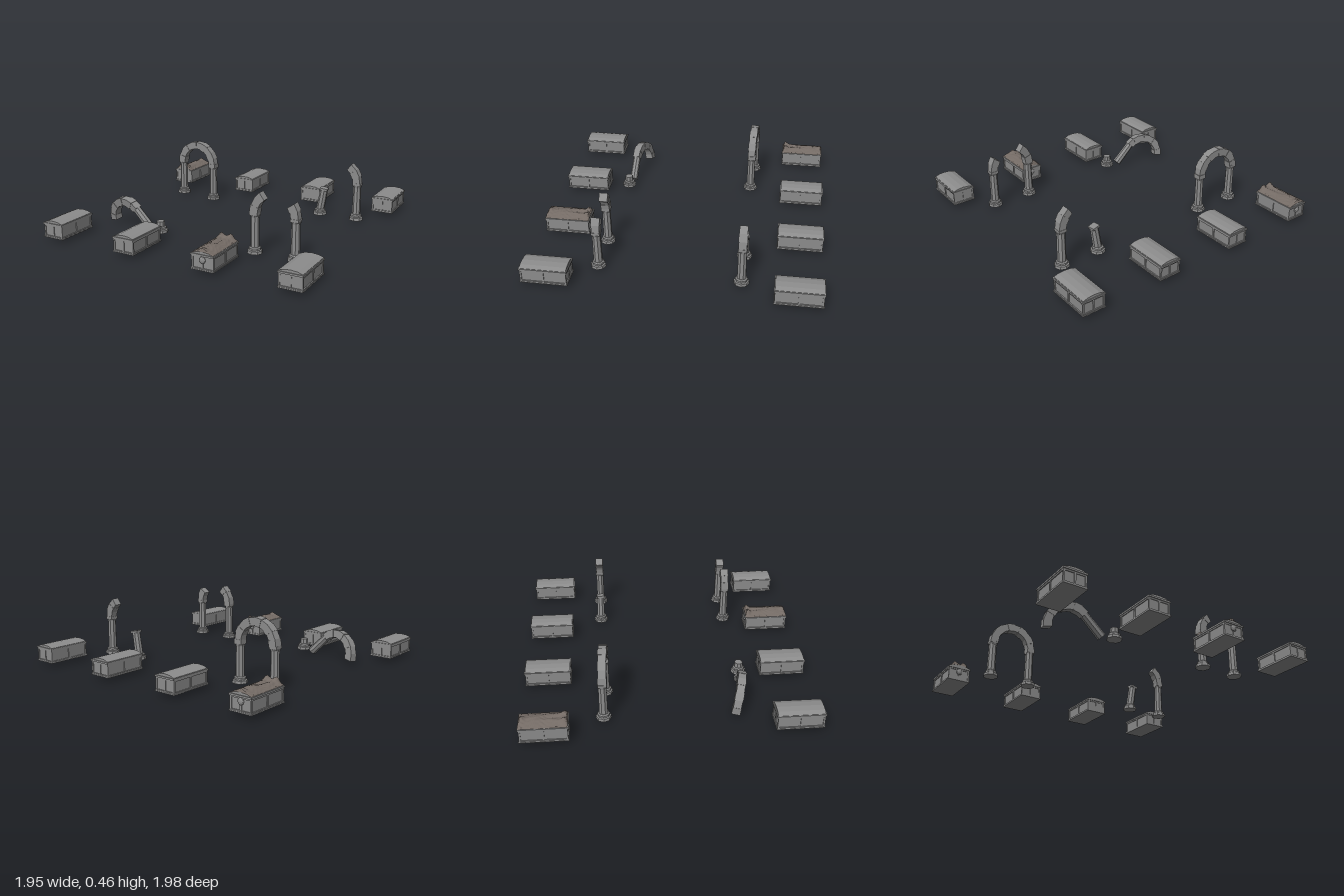
import * as THREE from 'three';

const stone = new THREE.MeshStandardMaterial({ color: 0x8c8c8c, flatShading: true });
const brown = new THREE.MeshStandardMaterial({ color: 0x746b65, flatShading: true, side: THREE.DoubleSide });
const SPAN = 0.145;   // arch centreline radius
const SPRING = 0.295; // height where the arch starts
const STEP = Math.PI / 10;

function add(parent, name, geometry, x = 0, y = 0, z = 0, material = stone) {
  const mesh = new THREE.Mesh(geometry, material);
  mesh.name = name;
  mesh.position.set(x, y, z);
  parent.add(mesh);
  return mesh;
}

function group(parent, name, x, y, z) {
  const g = new THREE.Group();
  g.name = name;
  g.position.set(x, y, z);
  parent.add(g);
  return g;
}

// Octagonal shaft standing on its local origin
function shaftGeometry(height) {
  return new THREE.CylinderGeometry(0.029, 0.031, height, 8).rotateY(Math.PI / 8).translate(0, height / 2, 0);
}

// Moulded octagonal foot of a column
function addBase(parent) {
  const profile = [[0, 0], [0.053, 0], [0.051, 0.02], [0.042, 0.025], [0.042, 0.038], [0.033, 0.045], [0, 0.045]];
  add(parent, 'columnBase', new THREE.LatheGeometry(profile.map(p => new THREE.Vector2(...p)), 8));
}

// Wedge stones of an arch, centred on the local origin, counted from the +x side
function addArchStones(parent, first, count) {
  for (let i = first; i < first + count; i++) {
    const grow = i % 2 ? 0.0025 : 0;
    const a = i * STEP, b = a + STEP;
    const outer = SPAN + 0.027 + grow, inner = SPAN - 0.027 - grow;
    const shape = new THREE.Shape([[inner, a], [outer, a], [outer, b], [inner, b]]
      .map(([r, t]) => new THREE.Vector2(r * Math.cos(t), r * Math.sin(t))));
    const depth = 0.054 + 2 * grow;
    const geometry = new THREE.ExtrudeGeometry(shape, { depth, bevelEnabled: false }).translate(0, 0, -depth / 2);
    add(parent, 'archStone', geometry);
  }
}

// Complete column up to the arch springing
function addColumn(parent, x, z, y = 0.013) {
  const column = group(parent, 'column', x, y, z);
  addBase(column);
  add(column, 'columnShaft', shaftGeometry(0.22), 0, 0.04, 0);
  add(column, 'columnCapital', new THREE.CylinderGeometry(0.034, 0.031, 0.014, 8).rotateY(Math.PI / 8), 0, 0.255, 0);
  add(column, 'springingBlock', new THREE.BoxGeometry(0.058, SPRING - y - 0.262, 0.058), 0, (SPRING - y + 0.262) / 2, 0);
}

// Height of the vaulted lid across the tomb
function lidHeight(x) {
  const a = Math.abs(x);
  return a < 0.045 ? 0.15 - a * 0.09 : 0.146 - (a - 0.045) * 0.36;
}

function addTomb(parent, x, z) {
  const tomb = group(parent, 'tomb', x, 0, z);
  add(tomb, 'tombPlinth', new THREE.BoxGeometry(0.166, 0.008, 0.32), 0, 0.03, 0);
  add(tomb, 'plinthStep', new THREE.BoxGeometry(0.161, 0.008, 0.314), 0, 0.037, 0);
  add(tomb, 'tombBody', new THREE.BoxGeometry(0.146, 0.09, 0.3), 0, 0.08, 0);
  // Posts framing the side and end panels
  for (const px of [-1, 0, 1]) for (const pz of [-1, 0, 1]) {
    if (px || pz) add(tomb, 'tombPost', new THREE.BoxGeometry(0.012, 0.09, 0.012), px * 0.073, 0.08, pz * 0.149);
  }
  for (const s of [-1, 1]) {
    add(tomb, 'sideRail', new THREE.BoxGeometry(0.012, 0.01, 0.3), s * 0.073, 0.115, 0);
    add(tomb, 'endRail', new THREE.BoxGeometry(0.146, 0.01, 0.012), 0, 0.115, s * 0.149);
  }
  add(tomb, 'lidRim', new THREE.BoxGeometry(0.166, 0.012, 0.322), 0, 0.126, 0);
  const xs = [0.077, 0.045, 0, -0.045, -0.077];
  const outline = [[-0.077, 0.125], [0.077, 0.125], ...xs.map(v => [v, lidHeight(v)])];
  const shape = new THREE.Shape(outline.map(p => new THREE.Vector2(...p)));
  add(tomb, 'tombLid', new THREE.ExtrudeGeometry(shape, { depth: 0.31, bevelEnabled: false }).translate(0, 0, -0.155));
  return tomb;
}

// Worn draped figure lying on a lid, feet toward local +z
function addEffigy(tomb) {
  const geometry = new THREE.PlaneGeometry(0.156, 0.314, 24, 36).rotateX(-Math.PI / 2);
  const p = geometry.attributes.position;
  const bump = (d, width) => Math.exp(-((d / width) ** 2));
  for (let i = 0; i < p.count; i++) {
    const x = p.getX(i), z = p.getZ(i);
    const edge = Math.abs(x) > 0.076 || Math.abs(z) > 0.154;
    const legs = bump(Math.abs(x) - 0.022 - 0.08 * Math.max(z, 0), 0.016) * bump(z - 0.07, 0.09) * 0.01;
    const torso = bump(x, 0.042) * bump(z + 0.06, 0.06) * 0.011;
    const head = bump(x, 0.026) * bump(z + 0.138, 0.02) * 0.018;
    const feet = (bump(Math.abs(x) - 0.036, 0.022) * 0.024 + bump(x, 0.025) * 0.008) * bump(z - 0.138, 0.02);
    const folds = 0.0015 * Math.sin(x * 210 + 3 * Math.sin(z * 45)) * Math.cos(z * 70);
    p.setY(i, lidHeight(x) + (edge ? 0 : 0.003 + legs + torso + head + feet + folds));
  }
  geometry.computeVertexNormals();
  add(tomb, 'effigy', geometry, 0, 0, 0, brown);
  // Shallow bosses on the end panels
  for (const s of [-1, 1]) {
    add(tomb, 'endBoss', new THREE.IcosahedronGeometry(1, 1).scale(0.022, 0.024, 0.012), 0, 0.095, s * 0.153);
  }
}

export function createModel() {
  const model = new THREE.Group();
  model.name = 'ruinedGraveyard';

  // Two rows of tombs, two of them carrying effigies
  for (const z of [-0.83, 0.82]) for (const x of [-0.893, -0.298, 0.302, 0.893]) {
    const tomb = addTomb(model, x, z);
    if ((x === -0.893 && z < 0) || (x === 0.302 && z > 0)) {
      addEffigy(tomb);
      if (z > 0) tomb.rotation.y = Math.PI;
    }
  }

  // Standing arch
  addColumn(model, -0.743, -0.45);
  addColumn(model, -0.451, -0.435, 0);
  const arch = group(model, 'standingArch', -0.597, SPRING - 0.007, -0.442);
  arch.rotation.y = -0.05;
  addArchStones(arch, 0, 10);

  // Broken arch, rear right: leaning stub and column with three stones
  addColumn(model, 0.768, -0.455);
  addArchStones(group(model, 'brokenArch', 0.768 - SPAN, SPRING, -0.455), 0, 3);
  const stub = group(model, 'leaningStub', 0.48, 0.013, -0.455);
  addBase(stub);
  const leaning = group(stub, 'leaningColumn', 0.002, 0.035, 0);
  leaning.rotation.z = -0.16;
  add(leaning, 'brokenShaft', shaftGeometry(0.165));
  add(leaning, 'brokenCapital', new THREE.BoxGeometry(0.058, 0.016, 0.056), 0, 0.167, 0).rotation.y = 0.15;

  // Broken arch, front right: stones left on both columns
  addColumn(model, 0.425, 0.515);
  addColumn(model, 0.715, 0.515);
  const pair = group(model, 'brokenArch', 0.57, SPRING, 0.515);
  addArchStones(pair, 0, 2);
  addArchStones(pair, 7, 3);

  // Fallen arch, front left, with its column stump
  const fallen = group(model, 'fallenArch', -0.634, 0.054, 0.458);
  fallen.rotation.set(0.15, -0.19, 0.82);
  addArchStones(fallen, 0, 8);
  add(fallen, 'fallenShaft', shaftGeometry(0.18), SPAN, -0.18, 0);
  const stump = group(model, 'columnStump', -0.32, 0.03, 0.515);
  addBase(stump);
  add(stump, 'stumpShaft', shaftGeometry(0.04), 0, 0.04, 0);

  return model;
}
